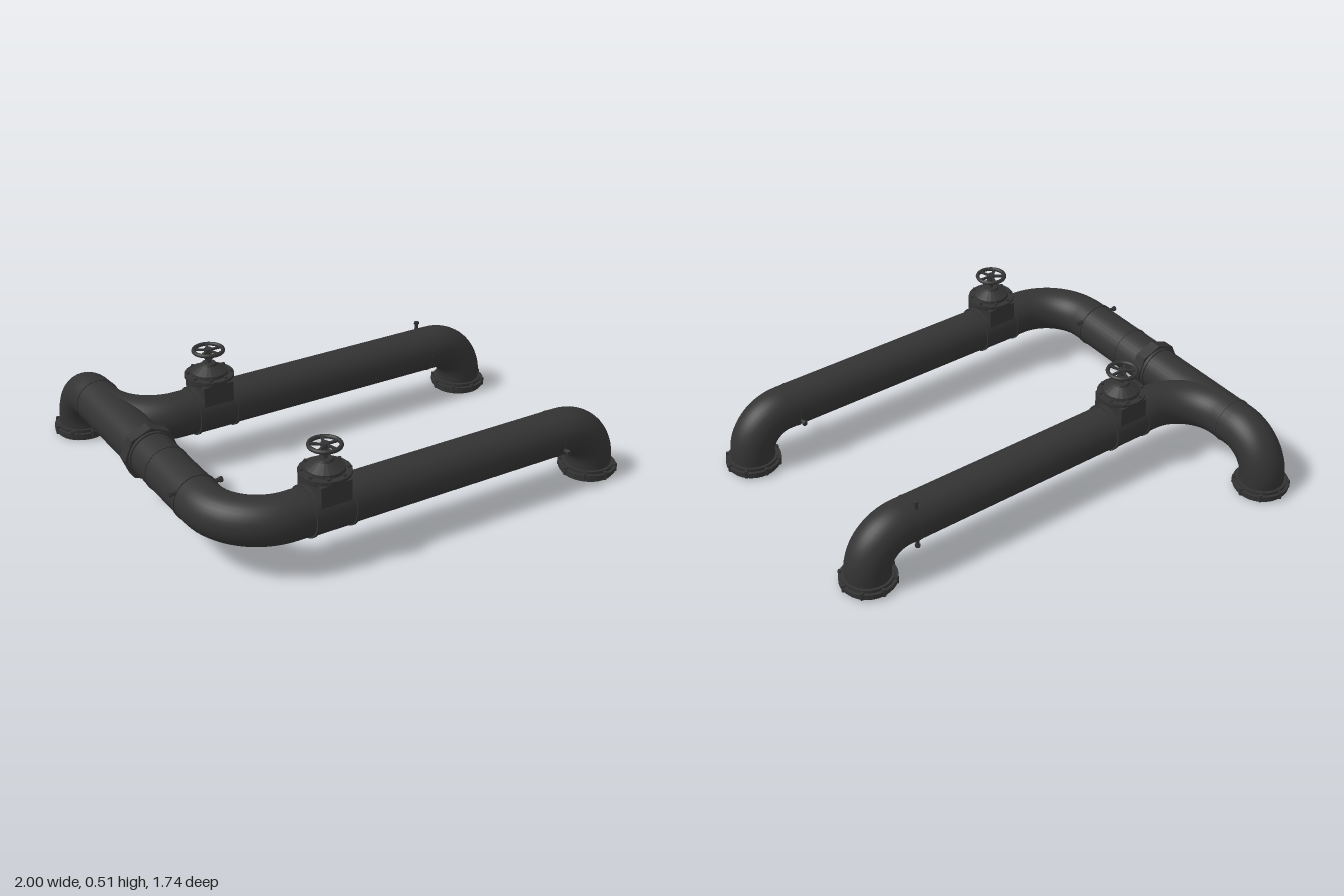
import * as THREE from 'three';

const smooth = new THREE.MeshStandardMaterial({ color: 0x333333, side: THREE.DoubleSide });
const faceted = new THREE.MeshStandardMaterial({ color: 0x333333, flatShading: true });
const R = 0.1, AXIS_Y = 0.235, TRUNK_X = -0.87, END_X = 0.87, FRONT_Z = 0.74, BRANCH_Z = -0.235, BACK_Z = -0.745;
const X = new THREE.Vector3(1, 0, 0), Y = new THREE.Vector3(0, 1, 0), Z = new THREE.Vector3(0, 0, 1);
const V = (x, y, z) => new THREE.Vector3(x, y, z);

// Quarter circle from centre + u * radius to centre + v * radius
class QuarterArc extends THREE.Curve {
  constructor(centre, u, v, radius) {
    super();
    Object.assign(this, { centre, u, v, radius });
  }
  getPoint(t, target = new THREE.Vector3()) {
    const a = t * Math.PI / 2;
    return target.copy(this.centre)
      .addScaledVector(this.u, this.radius * Math.cos(a))
      .addScaledVector(this.v, this.radius * Math.sin(a));
  }
}

function add(parent, name, geometry, material, position) {
  const mesh = new THREE.Mesh(geometry, material);
  mesh.name = name;
  if (position) mesh.position.copy(position);
  parent.add(mesh);
  return mesh;
}

function pipe(parent, name, from, to) {
  add(parent, name, new THREE.TubeGeometry(new THREE.LineCurve3(from, to), 1, R, 32), smooth);
}

function elbow(parent, name, centre, u, v, radius) {
  add(parent, name, new THREE.TubeGeometry(new QuarterArc(centre, u, v, radius), 16, R, 32), smooth);
}

// Solid disc or band whose axis follows a given direction
function band(parent, name, position, axis, radius, width, sides = 32) {
  const mesh = add(parent, name, new THREE.CylinderGeometry(radius, radius, width, sides),
    sides < 16 ? faceted : smooth, position);
  mesh.quaternion.setFromUnitVectors(Y, axis);
  return mesh;
}

// Two opposite studs standing out of a pipe
function studs(parent, position, axis, reach) {
  for (const s of [-1, 1]) {
    const p = position.clone().addScaledVector(axis, s * (reach - 0.025));
    band(parent, 'stud', p, axis, 0.009, 0.05, 8);
    band(parent, 'studHead', position.clone().addScaledVector(axis, s * (reach - 0.006)), axis, 0.012, 0.012, 6);
  }
}

// Floor flange with an open bore and a ring of nuts
function flange(x, z) {
  const g = new THREE.Group();
  g.name = 'floorFlange';
  g.position.set(x, 0, z);
  const profile = [[0.088, 0.08], [0.088, 0], [0.115, 0], [0.115, 0.014], [0.125, 0.014],
    [0.125, 0.034], [0.112, 0.034], [0.112, 0.048], [0.1, 0.048]];
  add(g, 'flangeRing', new THREE.LatheGeometry(profile.map(p => new THREE.Vector2(...p)), 32),
    new THREE.MeshStandardMaterial({ color: 0x333333, flatShading: true, side: THREE.DoubleSide }));
  for (let i = 0; i < 8; i++) {
    const a = i * Math.PI / 4;
    add(g, 'flangeNut', new THREE.CylinderGeometry(0.009, 0.009, 0.036, 6), faceted,
      V(0.12 * Math.cos(a), 0.026, 0.12 * Math.sin(a)));
  }
  return g;
}

// Gate valve on a pipe that runs along x
function valve(z) {
  const g = new THREE.Group();
  g.name = 'gateValve';
  g.position.set(-0.465, 0, z);
  band(g, 'valveBody', V(0, AXIS_Y, 0), X, 0.103, 0.18);
  for (const s of [-1, 1]) band(g, 'valveRim', V(s * 0.09, AXIS_Y, 0), X, 0.108, 0.012);
  add(g, 'valveNeck', new THREE.BoxGeometry(0.14, 0.11, 0.18), faceted, V(0, 0.32, 0));
  const profile = [[0, 0.368], [0.095, 0.368], [0.098, 0.384], [0.108, 0.384], [0.108, 0.398],
    [0.082, 0.398], [0.08, 0.412], [0.035, 0.438], [0.03, 0.448], [0, 0.448]];
  add(g, 'bonnet', new THREE.LatheGeometry(profile.map(p => new THREE.Vector2(...p)), 20),
    faceted);
  for (let i = 0; i < 8; i++) {
    const a = (i + 0.5) * Math.PI / 4;
    add(g, 'bonnetBolt', new THREE.CylinderGeometry(0.008, 0.008, 0.012, 6), faceted,
      V(0.094 * Math.cos(a), 0.402, 0.094 * Math.sin(a)));
  }
  add(g, 'stem', new THREE.CylinderGeometry(0.01, 0.01, 0.08, 12), smooth, V(0, 0.475, 0));
  add(g, 'stemNut', new THREE.CylinderGeometry(0.022, 0.022, 0.016, 6), faceted, V(0, 0.476, 0));
  // Handwheel
  add(g, 'wheelRim', new THREE.TorusGeometry(0.064, 0.009, 8, 28).rotateX(Math.PI / 2), smooth, V(0, 0.506, 0));
  add(g, 'wheelHub', new THREE.CylinderGeometry(0.018, 0.018, 0.016, 12), smooth, V(0, 0.506, 0));
  for (let i = 0; i < 5; i++) {
    add(g, 'wheelSpoke', new THREE.BoxGeometry(0.06, 0.008, 0.011).translate(0.034, 0, 0), faceted,
      V(0, 0.506, 0)).rotation.y = i * Math.PI * 2 / 5;
  }
  return g;
}

export function createModel() {
  const model = new THREE.Group();
  model.name = 'pipework';
  const drop = 0.17, sweep = 0.25;
  const lowY = AXIS_Y - drop, sweepX = TRUNK_X + sweep;
  const back = Z.clone().negate(), right = X.clone().negate();

  // Trunk, with swept corner at the front and drop at the back
  pipe(model, 'trunk', V(TRUNK_X, AXIS_Y, BACK_Z + drop), V(TRUNK_X, AXIS_Y, FRONT_Z - sweep));
  elbow(model, 'frontCorner', V(sweepX, AXIS_Y, FRONT_Z - sweep), right, Z, sweep);
  elbow(model, 'branchSweep', V(sweepX, AXIS_Y, BRANCH_Z - sweep), Z, right, sweep);
  elbow(model, 'backElbow', V(TRUNK_X, lowY, BACK_Z + drop), Y, back, drop);
  pipe(model, 'backFoot', V(TRUNK_X, lowY, BACK_Z), V(TRUNK_X, 0.01, BACK_Z));
  model.add(flange(TRUNK_X, BACK_Z));

  // Two parallel runs with valves and end drops
  for (const z of [FRONT_Z, BRANCH_Z]) {
    pipe(model, 'run', V(sweepX, AXIS_Y, z), V(END_X - drop, AXIS_Y, z));
    elbow(model, 'endElbow', V(END_X - drop, lowY, z), Y, X, drop);
    pipe(model, 'endFoot', V(END_X, lowY, z), V(END_X, 0.01, z));
    band(model, 'seam', V(0.655, AXIS_Y, z), X, 0.102, 0.006);
    model.add(flange(END_X, z), valve(z));
  }

  // Coupling, seams and studs
  band(model, 'coupling', V(TRUNK_X, AXIS_Y, 0), Z, 0.121, 0.054, 8);
  band(model, 'couplingCollar', V(TRUNK_X, AXIS_Y, 0), Z, 0.106, 0.08);
  for (const z of [-0.53, 0.17]) band(model, 'seam', V(TRUNK_X, AXIS_Y, z), Z, 0.103, 0.007);
  band(model, 'seam', V(TRUNK_X, AXIS_Y, 0.43), Z, 0.104, 0.014);
  studs(model, V(TRUNK_X, AXIS_Y + 0.05, 0.43), X, 0.118);
  studs(model, V(0.655, AXIS_Y - 0.035, FRONT_Z), Z, 0.125);
  studs(model, V(0.655, AXIS_Y, BRANCH_Z - 0.05), Y, 0.122);
  return model;
}
